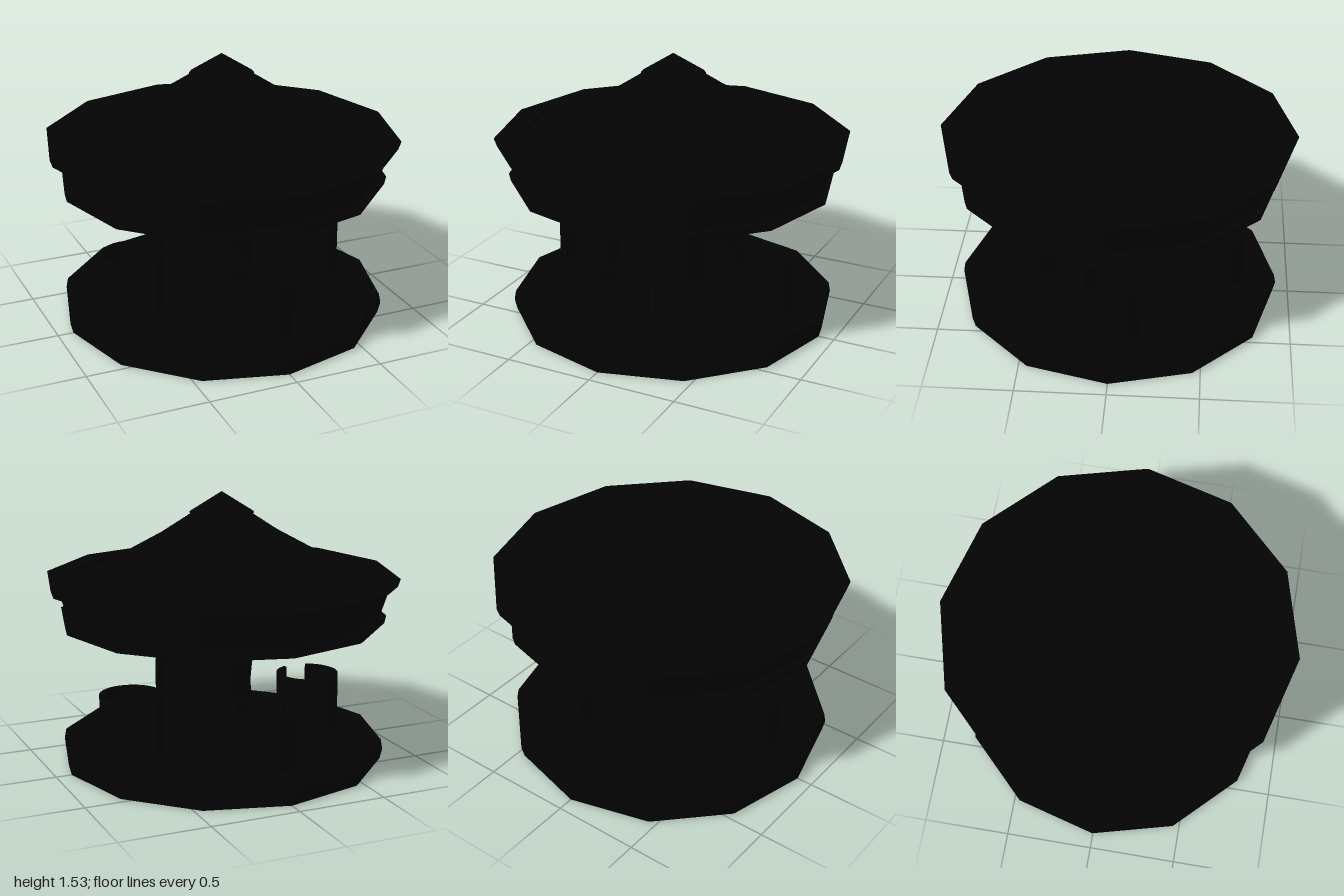
import * as THREE from 'three';
import { toCreasedNormals } from 'three/addons/utils/BufferGeometryUtils.js';

export function createModel() {
  const model = new THREE.Group();
  model.name = 'carousel';

  const black = new THREE.MeshStandardMaterial({ color: 0x030303 });
  black.name = 'black';

  const add = (name, geometry, parent = model) => {
    const mesh = new THREE.Mesh(geometry, black);
    mesh.name = name;
    parent.add(mesh);
    return mesh;
  };

  // Turned part from [radius, height] pairs, running up the outside
  const turn = (name, profile, sides = 12) => {
    const points = profile.map(([r, y]) => new THREE.Vector2(r, y));
    return add(name, toCreasedNormals(new THREE.LatheGeometry(points, sides), 0.45));
  };

  // Base and centre column
  turn('platform', [[0, 0], [0.91, 0], [0.925, 0.06], [0.915, 0.115], [0, 0.115]]);
  turn('column', [
    [0.265, 0.115], [0.19, 0.21], [0.175, 0.3], [0.165, 0.45], [0.19, 0.73], [0.29, 0.83],
  ]);

  // Canopy: hollow lower lip, sloping band and overhanging rim
  turn('canopyLip', [
    [0.87, 0.83], [0.87, 0.8], [0.915, 0.8], [0.925, 0.845], [0.88, 0.845],
  ]);
  turn('canopyCeiling', [[0, 0.83], [0.88, 0.83]]);
  turn('canopyBand', [[0.89, 0.845], [0.945, 1.01]]);
  turn('canopyRim', [
    [0.92, 1.01], [0.985, 1.01], [1, 1.055], [0.87, 1.055], [0.865, 1.025],
  ]);

  // Swept roof and its pointed cap
  turn('roof', [
    [0.88, 1.025], [0.81, 1.055], [0.63, 1.135], [0.34, 1.295], [0.165, 1.41],
  ]);
  turn('roofCap', [[0, 1.4], [0.165, 1.4], [0.18, 1.415], [0, 1.53]], 24);

  // Four round tubs, each with a doorway facing along the ride
  const gap = 0.4;
  const wall = new THREE.Shape();
  wall.absarc(0, 0, 0.18, gap, Math.PI * 2 - gap, false);
  wall.absarc(0, 0, 0.16, Math.PI * 2 - gap, gap, true);
  wall.closePath();
  const tub = toCreasedNormals(
    new THREE.ExtrudeGeometry(wall, { depth: 0.31, bevelEnabled: false, curveSegments: 20 })
      .rotateX(-Math.PI / 2), 0.6);

  for (let i = 0; i < 4; i++) {
    const arm = new THREE.Group();
    arm.name = 'tubSeat' + (i + 1);
    arm.rotation.y = (i * Math.PI) / 2;
    add('tubWall', tub, arm).position.set(0, 0.115, 0.55);
    model.add(arm);
  }

  return model;
}
